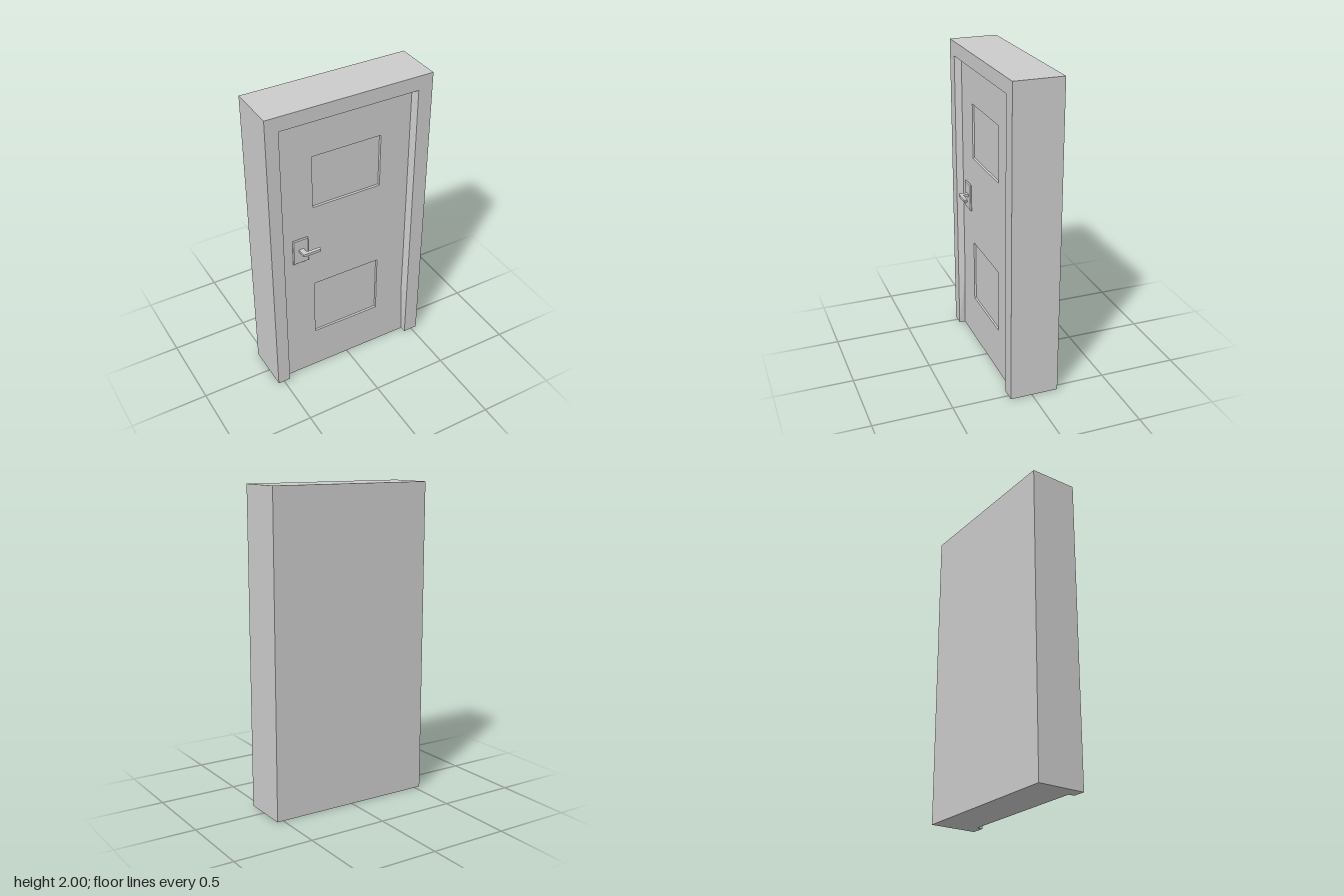
import * as THREE from 'three';

const BACK = -0.17, FACE = 0.14, LEAF = 0.1, PANEL = 0.09;
const grey = new THREE.MeshStandardMaterial({ color: 0xcccccc, flatShading: true });
const greyDouble = new THREE.MeshStandardMaterial({ color: 0xcccccc, flatShading: true, side: THREE.DoubleSide });

const rect = (x0, x1, y0, y1) => [[x0, y0], [x1, y0], [x1, y1], [x0, y1]];
const toPoints = (pts) => pts.map(([x, y]) => new THREE.Vector2(x, y));

function mesh(name, geometry, material = grey) {
  const m = new THREE.Mesh(geometry, material);
  m.name = name;
  return m;
}

// Straight slab from an outline, with optional holes, between two depths
function slab(name, outline, z0, z1, holes = []) {
  const shape = new THREE.Shape(toPoints(outline));
  holes.forEach((h) => shape.holes.push(new THREE.Path(toPoints(h))));
  const g = new THREE.ExtrudeGeometry(shape, { depth: z1 - z0, bevelEnabled: false });
  return mesh(name, g.translate(0, 0, z0));
}

// Sloping strip joining one path at depth za to a matching path at depth zb
function strip(name, a, za, b, zb, closed) {
  const pos = [], idx = [], n = a.length;
  for (let i = 0; i < n; i++) pos.push(...a[i], za, ...b[i], zb);
  for (let i = 0; i < (closed ? n : n - 1); i++) {
    const p = 2 * i, q = 2 * ((i + 1) % n);
    idx.push(p, q, p + 1, q, q + 1, p + 1);
  }
  const g = new THREE.BufferGeometry();
  g.setAttribute('position', new THREE.Float32BufferAttribute(pos, 3));
  g.setIndex(idx);
  g.computeVertexNormals();
  return mesh(name, g, greyDouble);
}

export function createModel() {
  const model = new THREE.Group();
  model.name = 'door';

  // Solid wall block behind the door leaf
  model.add(slab('wallBlock', rect(-0.54, 0.54, 0, 2), BACK, PANEL));

  // Door leaf with two shallow sunken panels
  const panels = [[0.3, 0.71], [1.3, 1.655]];
  const holes = panels.map(([y0, y1]) => rect(-0.238, 0.223, y0, y1));
  model.add(slab('doorLeaf', rect(-0.54, 0.54, 0, 2), PANEL, LEAF, holes));
  panels.forEach(([y0, y1], i) => model.add(strip(
    i ? 'upperPanelEdge' : 'lowerPanelEdge',
    holes[i], LEAF, rect(-0.233, 0.218, y0 + 0.005, y1 - 0.005), PANEL, true)));

  // Frame around the opening
  const opening = [[0.445, 0], [0.445, 0.36], [0.445, 1.908], [-0.457, 1.908], [-0.457, 0.36], [-0.457, 0]];
  model.add(slab('doorFrame', [[0.54, 0], [0.54, 2], [-0.54, 2], [-0.54, 0], ...[...opening].reverse()], LEAF, FACE));

  // Splayed reveal that tapers away towards the floor
  const inner = [[0.443, 0], [0.425, 0.36], [0.425, 1.89], [-0.438, 1.89], [-0.438, 0.36], [-0.455, 0]];
  model.add(strip('frameReveal', opening, FACE, inner, LEAF, false));

  // Bevelled lock plate
  const plate = new THREE.ExtrudeGeometry(new THREE.Shape(toPoints(rect(-0.375, -0.281, 0.927, 1.095))), {
    depth: 0.003, bevelEnabled: true, bevelThickness: 0.006, bevelSize: 0.006, bevelSegments: 1,
  });
  model.add(mesh('lockPlate', plate.translate(0, 0, LEAF)));

  // L-shaped lever handle, drawn in plan (x, z) and laid flat
  const lever = new THREE.Shape(toPoints([
    [-0.342, 0.1], [-0.31, 0.1], [-0.31, 0.141], [-0.306, 0.145], [-0.225, 0.145], [-0.221, 0.149],
    [-0.221, 0.163], [-0.225, 0.167], [-0.334, 0.167], [-0.34, 0.164], [-0.342, 0.158],
  ]));
  const leverGeo = new THREE.ExtrudeGeometry(lever, { depth: 0.018, bevelEnabled: false });
  model.add(mesh('leverHandle', leverGeo.rotateX(Math.PI / 2).translate(0, 1.028, 0)));

  return model;
}
